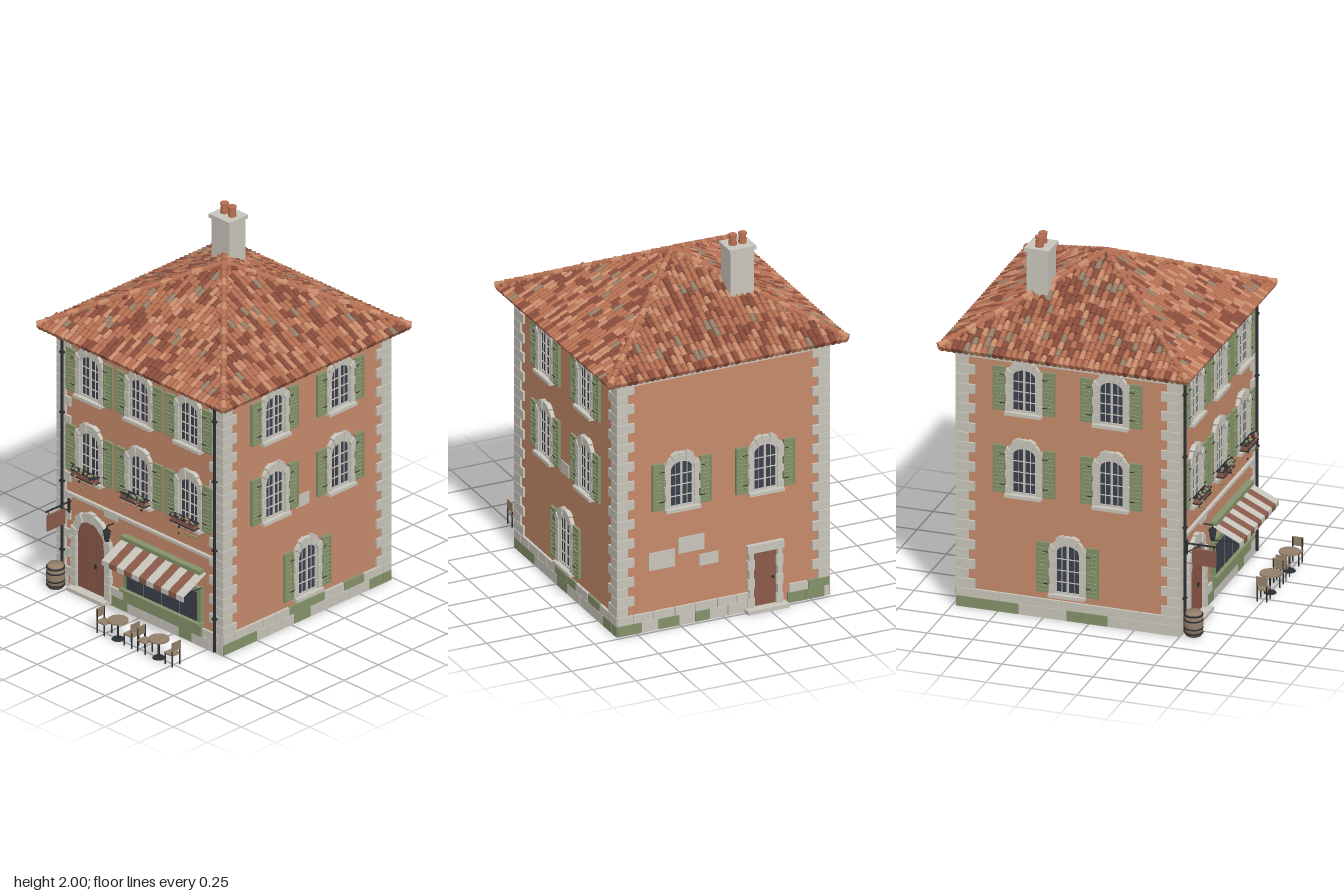
import * as THREE from 'three';
import { mergeGeometries } from 'three/addons/utils/BufferGeometryUtils.js';

const mat = (name, color) => new THREE.MeshStandardMaterial({ name, color, side: THREE.DoubleSide });
const M = {
  stucco: mat('stucco', 0xc68a6b), stone: mat('stone', 0xc8c5bb), green: mat('sage green', 0x84926a),
  glass: mat('dark glass', 0x3b404c), tile: mat('terracotta', 0xb56f52), tileDark: mat('dark terracotta', 0x8a4d3c),
  tilePale: mat('pale terracotta', 0xc98c6b), wood: mat('door wood', 0x8a5a4a), metal: mat('black iron', 0x2c2e32),
  tan: mat('tan wood', 0x94806a),
};
let seed = 7;
const rnd = () => (seed = (seed * 16807) % 2147483647) / 2147483647;

function add(parent, name, geo, material, x = 0, y = 0, z = 0) {
  const m = new THREE.Mesh(geo, material);
  m.name = name;
  m.position.set(x, y, z);
  parent.add(m);
  return m;
}
const box = (p, name, material, w, h, d, x, y, z) => add(p, name, new THREE.BoxGeometry(w, h, d), material, x, y, z);
const cyl = (p, name, material, r1, r2, h, x, y, z, n = 16) => add(p, name, new THREE.CylinderGeometry(r1, r2, h, n), material, x, y, z);
function group(parent, name, x = 0, y = 0, z = 0, ry = 0) {
  const g = new THREE.Group();
  g.name = name;
  g.position.set(x, y, z);
  g.rotation.y = ry;
  parent.add(g);
  return g;
}
function rod(p, name, material, a, b, r1, r2 = r1, n = 8) {
  const A = new THREE.Vector3(...a), d = new THREE.Vector3(...b).sub(A);
  const m = add(p, name, new THREE.CylinderGeometry(r2, r1, d.length(), n), material);
  m.position.copy(A).addScaledVector(d, 0.5);
  m.quaternion.setFromUnitVectors(new THREE.Vector3(0, 1, 0), d.normalize());
}

// Arched panel: straight jambs up to the spring, half ellipse above
function archShape(a, y0, spring, rise) {
  const s = new THREE.Shape();
  s.moveTo(-a, y0);
  s.lineTo(a, y0);
  s.lineTo(a, spring);
  s.absellipse(0, spring, a, rise, 0, Math.PI, false);
  s.closePath();
  return s;
}
// Stone surround: wedge blocks around the arch and toothed jambs
function surround(p, a, y0, spring, rise, side, top, n) {
  for (let i = 0; i < n; i++) {
    const t0 = Math.PI * i / n, t1 = Math.PI * (i + 1) / n - 0.03, k = i % 2 ? 0 : 0.008;
    const pt = (t, u) => new THREE.Vector2(Math.cos(t) * (a + u * (side + k)), spring + Math.sin(t) * (rise + u * (top + k)));
    const s = new THREE.Shape([pt(t0, 0), pt(t0, 1), pt((t0 + t1) / 2, 1), pt(t1, 1), pt(t1, 0), pt((t0 + t1) / 2, 0)]);
    add(p, 'archStone', new THREE.ExtrudeGeometry(s, { depth: 0.022 + k / 2, bevelEnabled: false }), M.stone);
  }
  const rows = Math.round((spring - y0) / 0.045), h = (spring - y0) / rows;
  for (let i = 0; i < rows; i++) for (const s of [-1, 1]) {
    const w = side + (i % 2 ? 0 : 0.006);
    box(p, 'jambStone', M.stone, w, h - 0.002, 0.024, s * (a + w / 2), y0 + h * (i + 0.5), 0.011);
  }
}
function shutteredWindow(wall, x, y0, h, flowers) {
  const g = group(wall, 'window', x), a = 0.07, spring = y0 + h - 0.05;
  add(g, 'windowGlass', new THREE.ShapeGeometry(archShape(a, y0, spring, 0.05), 10), M.glass, 0, 0, 0.004);
  const frame = archShape(a, y0, spring, 0.05);
  frame.holes.push(archShape(a - 0.009, y0 + 0.009, spring, 0.041));
  add(g, 'windowFrame', new THREE.ExtrudeGeometry(frame, { depth: 0.012, bevelEnabled: false }), M.stone);
  box(g, 'mullion', M.stone, 0.011, h - 0.006, 0.012, 0, y0 + h / 2, 0.006);
  for (let i = 1; i < 4; i++) box(g, 'glazingBar', M.stone, 0.13, 0.004, 0.009, 0, y0 + (h - 0.02) * i / 4, 0.005);
  for (const s of [-1, 1]) box(g, 'thinGlazingBar', M.stone, 0.003, h - 0.02, 0.008, s * 0.034, y0 + h / 2 - 0.006, 0.005);
  surround(g, a, y0, spring, 0.05, 0.026, 0.046, 7);
  box(g, 'sill', M.stone, 0.2, 0.018, 0.04, 0, y0 - 0.009, 0.02);
  // Louvred shutters
  for (const s of [-1, 1]) {
    const sh = group(g, 'shutter', s * 0.137, y0 + h / 2, 0.01);
    box(sh, 'shutterPanel', M.green, 0.066, h, 0.01, 0, 0, 0);
    for (const e of [-1, 1]) box(sh, 'shutterStile', M.green, 0.009, h, 0.016, e * 0.0285, 0, 0.003);
    for (const e of [-1, 0, 1]) box(sh, 'shutterRail', M.green, 0.05, 0.014, 0.016, 0, e * (h / 2 - 0.007), 0.003);
    for (let i = 0; i < 12; i++) {
      box(sh, 'slat', M.green, 0.048, 0.003, 0.009, 0, -h / 2 + h * (i + 0.5) / 12, 0.005).rotation.x = 0.5;
    }
    for (const e of [-1, 1]) box(sh, 'hinge', M.metal, 0.03, 0.004, 0.003, -s * 0.02, e * h * 0.32, 0.0125);
  }
  if (!flowers) return;
  // Window box with trailing plants
  box(g, 'planter', M.wood, 0.17, 0.03, 0.035, 0, y0 + 0.02, 0.048);
  for (const yy of [0.012, 0.042]) box(g, 'planterRail', M.metal, 0.18, 0.004, 0.045, 0, y0 + yy, 0.048);
  for (let i = 0; i < 34; i++) {
    const px = (rnd() - 0.5) * 0.18, hang = i % 3 === 0 ? rnd() * 0.09 : 0;
    add(g, i % 4 === 1 ? 'flower' : 'leaf', new THREE.IcosahedronGeometry(0.006 + rnd() * 0.004, 0),
      i % 4 === 1 ? M.tile : i % 4 === 2 ? M.metal : M.green, px, y0 + 0.035 + rnd() * 0.02 - hang, 0.045 + rnd() * 0.025);
  }
}
// Two courses of base stones between a and b, with a gap for a door
function plinth(wall, half, gap) {
  for (let row = 0; row < 2; row++) for (let x = -half; x < half - 0.01;) {
    const w = Math.min(0.08 + rnd() * 0.07, half - x), c = x + w / 2;
    if (!gap || Math.abs(c - gap[0]) > gap[1] + w / 2 - 0.02) {
      box(wall, 'plinthStone', rnd() < (row ? 0.12 : 0.45) ? M.green : M.stone, w - 0.003, row ? 0.046 : 0.058, 0.016, c, row ? 0.084 : 0.03, 0.006);
    }
    x += w;
  }
}
function roof(model) {
  const R = 0.685, Y = 1.475, H = 0.36, L = Math.hypot(R, H), th = Math.atan2(H, R);
  const g = group(model, 'roof', 0, 0, -0.115);
  add(g, 'roofDeck', new THREE.ConeGeometry(R * Math.SQRT2, H, 4, 1).rotateY(Math.PI / 4).toNonIndexed(), M.tileDark, 0, Y + H / 2, 0).geometry.computeVertexNormals();
  box(g, 'soffit', M.stone, 1.36, 0.014, 1.36, 0, 1.47, 0);
  const sets = { tile: [], tileDark: [], tilePale: [], tan: [] };
  for (let k = 0; k < 4; k++) for (let j = -21; j < 21; j++) {
    const x = (j + 0.5) * 0.0325;
    for (let s = 0; s < L * (1 - Math.abs(x) / R) - 0.01;) {
      const len = 0.045 + rnd() * 0.022, c = s + len / 2, r = rnd();
      const geo = new THREE.CylinderGeometry(0.012, 0.0175, len + 0.012, 8, 1);
      geo.rotateX(th - Math.PI / 2).translate(x + (rnd() - 0.5) * 0.003, Y + c * Math.sin(th) + 0.002, R - c * Math.cos(th));
      geo.rotateY(k * Math.PI / 2);
      sets[r < 0.45 ? 'tile' : r < 0.72 ? 'tileDark' : r < 0.94 ? 'tilePale' : 'tan'].push(geo);
      s += len;
    }
  }
  for (const key in sets) add(g, 'roofTiles', mergeGeometries(sets[key]), M[key]);
  // Hip tiles
  for (const sx of [-1, 1]) for (const sz of [-1, 1]) for (let i = 0; i < 18; i++) {
    const at = t => [sx * R * (1 - t), Y + 0.012 + H * t, sz * R * (1 - t)];
    rod(g, 'hipTile', i % 3 ? M.tile : M.tilePale, at(i / 18), at((i + 1.1) / 18), 0.02, 0.015);
  }
}
function furniture(model) {
  for (const tx of [0.09, 0.39]) {
    const t = group(model, 'cafeTable', tx, 0, 0.75);
    cyl(t, 'tableTop', M.tan, 0.056, 0.056, 0.008, 0, 0.11, 0, 24);
    cyl(t, 'tableLeg', M.metal, 0.006, 0.006, 0.106, 0, 0.053, 0, 8);
    cyl(t, 'tableFoot', M.metal, 0.03, 0.034, 0.006, 0, 0.003, 0);
    for (const s of [-1, 1]) {
      const c = group(model, 'chair', tx + s * 0.099, 0, 0.75);
      box(c, 'seat', M.tan, 0.062, 0.008, 0.06, 0, 0.066, 0);
      box(c, 'backrest', M.tan, 0.006, 0.05, 0.062, s * 0.029, 0.115, 0);
      for (const lz of [-1, 1]) {
        rod(c, 'rearLeg', M.metal, [s * 0.028, 0, lz * 0.026], [s * 0.028, 0.135, lz * 0.026], 0.004);
        rod(c, 'frontLeg', M.metal, [-s * 0.026, 0, lz * 0.026], [-s * 0.026, 0.066, lz * 0.026], 0.004);
      }
    }
  }
  // Barrel
  const b = group(model, 'barrel', -0.56, 0, 0.56);
  const prof = [[0, 0], [0.04, 0], [0.048, 0.035], [0.05, 0.065], [0.048, 0.1], [0.04, 0.135], [0, 0.132]];
  add(b, 'barrelBody', new THREE.LatheGeometry(prof.map(q => new THREE.Vector2(...q)), 20), M.tan);
  for (const y of [0.018, 0.045, 0.09, 0.117]) cyl(b, 'barrelHoop', M.metal, 0.05, 0.05, 0.008, 0, y, 0, 20);
}

export function createModel() {
  const model = new THREE.Group();
  model.name = 'townHouse';
  box(model, 'walls', M.stucco, 1.2, 1.45, 1.21, 0, 0.73, -0.115);
  box(model, 'base', M.stone, 1.2, 0.01, 1.21, 0, 0.005, -0.115);
  box(model, 'cornice', M.stone, 1.23, 0.025, 1.24, 0, 1.4325, -0.115);
  box(model, 'upperCornice', M.stone, 1.27, 0.025, 1.28, 0, 1.4535, -0.115);
  const front = group(model, 'frontWall', 0, 0, 0.49), back = group(model, 'backWall', 0, 0, -0.72, Math.PI);
  const sides = [1, -1].map(s => group(model, s > 0 ? 'leftWall' : 'rightWall', s * 0.6, 0, -0.115, s * Math.PI / 2));

  // Corner stones
  for (const sx of [-1, 1]) for (const sz of [-1, 1]) for (let i = 0; i < 24; i++) {
    const w = i % 2 ? 0.1 : 0.065, d = i % 2 ? 0.07 : 0.105;
    box(model, 'cornerStone', M.stone, w, 0.052, d, sx * (0.612 - w / 2), 0.135 + i * 0.055, -0.115 + sz * (0.617 - d / 2));
  }
  plinth(front, 0.612, [-0.355, 0.13]);
  plinth(back, 0.612, [0.24, 0.08]);
  sides.forEach(w => plinth(w, 0.615));

  // Windows
  for (const x of [-0.365, 0, 0.365]) {
    shutteredWindow(front, x, 1.145, 0.245, false);
    shutteredWindow(front, x, 0.68, 0.265, true);
  }
  for (const w of sides) {
    for (const x of [-0.24, 0.24]) {
      shutteredWindow(w, x, 1.145, 0.245, false);
      shutteredWindow(w, x, 0.68, 0.265, false);
    }
    shutteredWindow(w, 0, 0.15, 0.28, false);
  }
  for (const x of [-0.24, 0.24]) shutteredWindow(back, x, 0.68, 0.265, false);

  // Bare stone patches in the plaster
  for (const [w, x, y, sx, sy] of [[front, -0.22, 0.51, 0.1, 0.035], [sides[0], -0.025, 0.695, 0.095, 0.07],
    [back, -0.35, 0.39, 0.15, 0.1], [back, -0.18, 0.45, 0.15, 0.09], [back, -0.08, 0.345, 0.11, 0.065]]) {
    box(w, 'stonePatch', M.stone, sx, sy, 0.006, x, y, 0.002);
  }
  box(front, 'stringCourse', M.stone, 1.05, 0.016, 0.02, 0, 0.538, 0.008);

  // Front door
  const door = group(front, 'frontDoor', -0.355);
  add(door, 'doorLeaf', new THREE.ShapeGeometry(archShape(0.105, 0.02, 0.31, 0.115), 16), M.wood, 0, 0, 0.006);
  for (let i = -2; i <= 2; i++) box(door, 'plankGroove', M.tileDark, 0.003, 0.34, 0.003, i * 0.035, 0.2, 0.007);
  surround(door, 0.105, 0.02, 0.31, 0.115, 0.035, 0.05, 9);
  box(door, 'doorstep', M.stone, 0.27, 0.02, 0.06, 0, 0.01, 0.03);
  box(door, 'lockPlate', M.metal, 0.014, 0.022, 0.01, 0.03, 0.18, 0.01);

  // Back door
  const rear = group(back, 'backDoor', 0.24);
  box(rear, 'doorLeaf', M.wood, 0.13, 0.31, 0.012, 0, 0.17, 0.002);
  box(rear, 'doorKnob', M.metal, 0.012, 0.012, 0.016, 0.045, 0.17, 0.008);
  for (const s of [-1, 1]) for (let i = 0; i < 6; i++) box(rear, 'jambStone', M.stone, i % 2 ? 0.028 : 0.04, 0.052, 0.024, s * 0.082, 0.046 + i * 0.054, 0.01);
  box(rear, 'lintel', M.stone, 0.21, 0.045, 0.026, 0, 0.352, 0.011);
  box(rear, 'doorstep', M.stone, 0.24, 0.02, 0.06, 0, 0.01, 0.03);

  // Shop front and awning
  const shop = group(front, 'shopFront', 0.175);
  box(shop, 'shopFrame', M.green, 0.57, 0.28, 0.03, 0, 0.2, 0.008);
  box(shop, 'shopSill', M.green, 0.59, 0.014, 0.05, 0, 0.134, 0.02);
  box(shop, 'shopHeader', M.green, 0.58, 0.022, 0.04, 0, 0.437, 0.018);
  for (let i = 0; i < 4; i++) box(shop, 'shopGlass', M.glass, 0.124, 0.165, 0.006, -0.198 + i * 0.132, 0.226, 0.022);
  for (let i = 0; i < 11; i++) {
    const m = i % 2 ? M.wood : M.stone, w = 0.6 / 11, x = -0.3 + w * (i + 0.5) + 0.005;
    box(shop, 'awningStripe', m, w, 0.004, 0.186, x, 0.39, 0.085).rotation.x = Math.atan2(0.08, 0.165);
    box(shop, 'awningValance', m, w, 0.03, 0.004, x, 0.336, 0.168);
  }
  for (const s of [-1, 1]) rod(shop, 'awningArm', M.metal, [s * 0.28, 0.34, 0.01], [s * 0.28, 0.35, 0.165], 0.003);

  // Lantern
  const lamp = group(front, 'lantern', -0.205, 0, 0.048);
  rod(lamp, 'lanternArm', M.metal, [0, 0.472, -0.048], [0, 0.472, 0], 0.004);
  rod(lamp, 'lanternHook', M.metal, [0, 0.472, 0], [0, 0.45, 0], 0.003);
  cyl(lamp, 'lanternCap', M.metal, 0.006, 0.024, 0.018, 0, 0.452, 0, 6);
  cyl(lamp, 'lanternGlass', M.glass, 0.018, 0.012, 0.05, 0, 0.418, 0, 6);
  cyl(lamp, 'lanternBase', M.metal, 0.014, 0.01, 0.01, 0, 0.39, 0, 6);
  for (let i = 0; i < 6; i++) {
    const c = Math.sin(i * Math.PI / 3), d = Math.cos(i * Math.PI / 3);
    rod(lamp, 'lanternBar', M.metal, [c * 0.012, 0.392, d * 0.012], [c * 0.019, 0.445, d * 0.019], 0.002);
  }
  // Hanging sign
  const sign = group(front, 'hangingSign', -0.515);
  box(sign, 'wallPlate', M.metal, 0.014, 0.08, 0.008, 0, 0.47, 0.016);
  rod(sign, 'signArm', M.metal, [0, 0.492, 0], [0, 0.492, 0.185], 0.005);
  rod(sign, 'signBrace', M.metal, [0, 0.44, 0.015], [0, 0.49, 0.09], 0.003);
  box(sign, 'signBoard', M.wood, 0.01, 0.09, 0.13, 0, 0.422, 0.112);
  for (const z of [0.06, 0.165]) rod(sign, 'signChain', M.metal, [0, 0.465, z], [0, 0.492, z], 0.002);

  // Drainpipes
  for (const s of [-1, 1]) {
    rod(front, 'drainpipe', M.metal, [s * 0.56, 0.01, 0.022], [s * 0.56, 1.43, 0.022], 0.008);
    rod(front, 'drainpipeElbow', M.metal, [s * 0.56, 1.425, 0.022], [s * 0.56, 1.47, 0.075], 0.008);
    for (const y of [0.2, 0.6, 1.0, 1.35]) box(front, 'pipeClip', M.metal, 0.026, 0.01, 0.022, s * 0.56, y, 0.02);
  }
  roof(model);

  // Chimney
  const ch = group(model, 'chimney', -0.245, 0, -0.39);
  box(ch, 'chimneyStack', M.stone, 0.135, 0.39, 0.115, 0, 1.735, 0);
  box(ch, 'chimneyCap', M.stone, 0.152, 0.022, 0.136, 0, 1.931, 0);
  for (const x of [-0.028, 0.028]) {
    cyl(ch, 'chimneyPot', M.tile, 0.018, 0.023, 0.06, x, 1.967, 0);
    cyl(ch, 'potRim', M.tile, 0.023, 0.023, 0.01, x, 1.995, 0);
  }
  furniture(model);
  return model;
}
